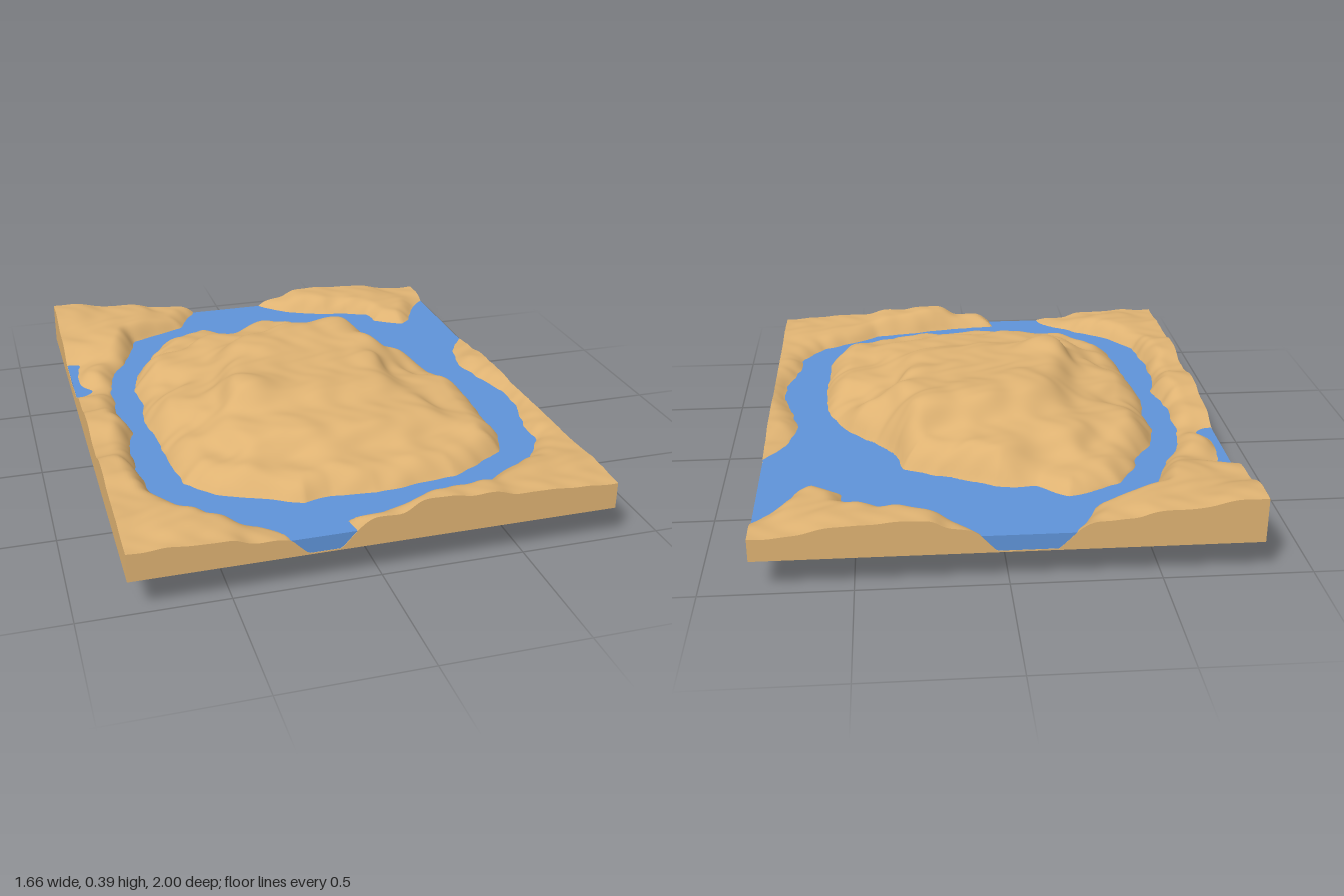
import * as THREE from 'three';

const W = 0.83, D = 1, BASE = 0.12, WATER = 0.18;
const NX = 150, NZ = 180;

// Shorelines as x, z pairs: the island, then three pieces of outer bank
const island = [
  -.22, -.75, -.3, -.73, -.4, -.67, -.47, -.57, -.5, -.47, -.57, -.38, -.6, -.25, -.59, -.1, -.61, .05,
  -.59, .2, -.58, .4, -.56, .55, -.47, .65, -.33, .72, -.2, .78, -.1, .76, .05, .78, .2, .76, .35, .75,
  .45, .69, .57, .62, .61, .5, .62, .3, .62, .1, .59, -.05, .52, -.18, .43, -.28, .36, -.37, .33, -.5,
  .22, -.56, .12, -.6, .02, -.66, -.12, -.67, -.18, -.72];
const banks = [
  [-.21, -1.3, -.21, -1, -.26, -.92, -.3, -.83, -.42, -.78, -.52, -.73, -.56, -.62, -.6, -.52, -.66, -.42,
    -.69, -.25, -.7, -.05, -.67, .12, -.7, .25, -.7, .4, -.68, .6, -.6, .73, -.48, .82, -.38, .89,
    -.31, .96, -.3, 1, -.3, 1.3, -1.2, 1.3, -1.2, -1.3],
  [-.09, 1.3, -.09, 1, -.1, .93, 0, .92, .15, .9, .3, .86, .42, .84, .53, .76, .65, .7, .74, .58, .74, .45,
    .78, .3, .79, .15, .75, .02, .72, -.13, .74, -.25, .78, -.33, .83, -.39, 1.2, -.5, 1.2, 1.3],
  [.09, -1.3, .09, -.99, .15, -.92, .25, -.86, .35, -.82, .45, -.8, .53, -.76, .54, -.68, .65, -.61,
    .7, -.66, .77, -.8, .83, -.86, 1.2, -1, 1.2, -1.3]];

// Spot heights as x, z, y triples
const islandSpots = [
  -.27, .2, .395, -.2, .05, .365, -.12, -.15, .378, .05, -.25, .378, .22, -.3, .375, .3, -.15, .36,
  .1, 0, .35, 0, .2, .35, .2, .2, .34, .28, .03, .355, .37, .05, .265, .45, .15, .27, .5, 0, .225,
  .5, .35, .25, .3, .4, .3, .1, .45, .31, -.15, .45, .32, -.3, .4, .31, -.4, .2, .29, -.42, 0, .28,
  -.4, -.25, .28, -.25, -.4, .3, 0, -.45, .29, .2, -.45, .27, -.2, -.62, .22, -.5, -.1, .24,
  -.5, .25, .24, -.45, .5, .24, -.2, .63, .24, .1, .65, .24, .35, .62, .24, .4, -.2, .28, -.38, -.52, .23];
const bankSpots = [
  -.8, -.95, .278, -.5, -.95, .25, -.35, -.97, .22, -.65, -.75, .25, -.78, -.7, .235, -.83, -.4, .16,
  -.83, -.3, .175, -.83, -.5, .175, -.75, -.4, .225, -.8, -.1, .22, -.75, .1, .25, -.82, .3, .22,
  -.77, .45, .25, -.83, .7, .23, -.6, .85, .24, -.83, 1, .22, -.55, 1, .215, -.38, 1, .19, 0, 1, .22,
  .2, 1, .262, .35, 1, .25, .5, .95, .23, .7, .9, .225, .83, 1, .215, .83, .6, .21, .83, .2, .21,
  .83, -.1, .21, .8, -.3, .19, .3, -.97, .245, .5, -.9, .235, .65, -.75, .215, .8, -.97, .2, .15, -1, .21];

// Deep pools in the channel bed: x, z, radius, lowest y
const pools = [
  [-.65, .36, .06, 0], [-.64, .24, .05, .05], [-.64, .05, .03, .095], [-.65, -.08, .04, .05],
  [-.64, -.18, .03, .095], [-.55, -.52, .045, .04], [-.48, -.61, .045, .045], [-.36, -.73, .04, .08],
  [-.09, -.8, .05, .065], [.03, -.83, .05, .065], [.16, -.78, .05, .04], [.29, -.72, .05, .05],
  [.43, -.66, .055, .02]];

// Distance to a closed outline, positive inside
function inset(p, x, z) {
  let best = 1e9, inside = false;
  for (let i = 0, j = p.length - 2; i < p.length; j = i, i += 2) {
    const ax = p[j], az = p[j + 1], ex = p[i] - ax, ez = p[i + 1] - az;
    const t = Math.min(1, Math.max(0, ((x - ax) * ex + (z - az) * ez) / (ex * ex + ez * ez)));
    best = Math.min(best, Math.hypot(x - ax - t * ex, z - az - t * ez));
    if ((az > z) !== (p[i + 1] > z) && x < ax + (z - az) / ez * ex) inside = !inside;
  }
  return inside ? best : -best;
}

// Smooth blend of spot heights
function blend(spots, x, z) {
  let sum = 0, total = 0;
  for (let i = 0; i < spots.length; i += 3) {
    const w = 1 / ((x - spots[i]) ** 2 + (z - spots[i + 1]) ** 2 + 0.003) ** 2;
    sum += w * spots[i + 2];
    total += w;
  }
  return sum / total;
}

const ripple = (x, z) =>
  0.5 * Math.sin(17 * x + 5 * Math.sin(7 * z)) * Math.sin(19 * z + 4 * Math.sin(6 * x)) +
  0.5 * Math.sin(41 * x + 13 * z + 2 * Math.sin(23 * z)) * Math.sin(37 * z - 11 * x);

function height(x, z) {
  const n = ripple(x, z);
  const dIsland = inset(island, x, z) + 0.007 * n;
  const dBank = Math.max(...banks.map(b => inset(b, x, z))) + 0.007 * n;
  const d = Math.max(dIsland, dBank);
  if (d > 0) {
    const onIsland = dIsland > dBank;
    const t = Math.min(1, d / (onIsland ? 0.1 : 0.07));
    const top = blend(onIsland ? islandSpots : bankSpots, x, z) + 0.004 * n;
    return WATER + (top - WATER) * t * (2 - t);
  }
  // Channel bed, shallow towards the +x edge
  const shallow = THREE.MathUtils.smoothstep(x, 0.6, 0.8);
  const depth = THREE.MathUtils.lerp(0.055, 0.022, shallow);
  let y = WATER - depth * Math.min(1, -d / 0.05);
  const mask = THREE.MathUtils.smoothstep(-d, 0, 0.03);
  for (const [px, pz, r, low] of pools)
    y -= mask * (0.125 - low) * Math.exp(-((x - px) ** 2 + (z - pz) ** 2) / (r * r));
  if (Math.abs(z) > 0.985) y = Math.max(y, BASE + 0.001);
  return y;
}

function meshOf(name, geometry, material) {
  const mesh = new THREE.Mesh(geometry, material);
  mesh.name = name;
  return mesh;
}

// Vertical wall from the ground's edge down to the base
function wall(ax, az, bx, bz, count) {
  const pos = [], idx = [];
  for (let i = 0; i <= count; i++) {
    const x = ax + (bx - ax) * i / count, z = az + (bz - az) * i / count;
    pos.push(x, BASE, z, x, Math.max(BASE, height(x, z)), z);
    if (i < count) {
      const k = i * 2;
      idx.push(k, k + 2, k + 1, k + 1, k + 2, k + 3);
    }
  }
  const g = new THREE.BufferGeometry();
  g.setAttribute('position', new THREE.Float32BufferAttribute(pos, 3));
  g.setIndex(idx);
  g.computeVertexNormals();
  return g;
}

export function createModel() {
  const model = new THREE.Group();
  model.name = 'riverIsland';
  const earth = new THREE.MeshStandardMaterial({ color: 0xdeb272, side: THREE.DoubleSide });
  const blue = new THREE.MeshStandardMaterial({ color: 0x5f93d8 });

  // Ground surface
  const ground = new THREE.PlaneGeometry(2 * W, 2 * D, NX, NZ).rotateX(-Math.PI / 2);
  const p = ground.attributes.position;
  for (let i = 0; i < p.count; i++) p.setY(i, height(p.getX(i), p.getZ(i)));
  ground.computeVertexNormals();
  model.add(meshOf('terrain', ground, earth));

  // Cut edges of the ground
  model.add(meshOf('frontEdge', wall(-W, D, W, D, NX), earth));
  model.add(meshOf('backEdge', wall(W, -D, -W, -D, NX), earth));
  model.add(meshOf('leftEdge', wall(W, D, W, -D, NZ), earth));
  model.add(meshOf('rightEdge', wall(-W, -D, -W, D, NZ), earth));

  // Water slab, which also closes the underside
  const water = meshOf('water', new THREE.BoxGeometry(2 * W - 0.003, WATER - BASE, 2 * D - 0.003), blue);
  water.position.y = (WATER + BASE) / 2;
  model.add(water);
  return model;
}
